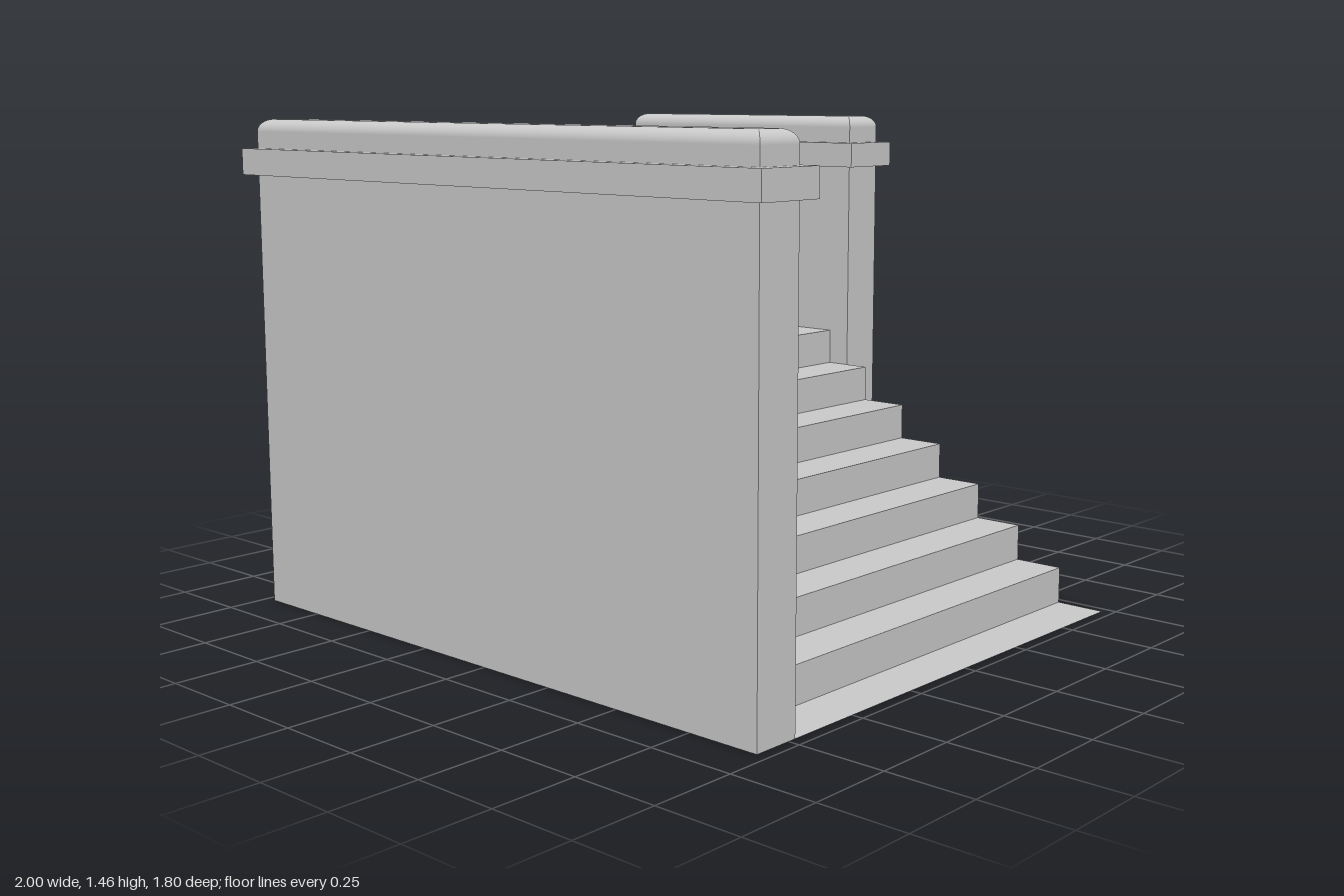
import * as THREE from 'three';

const material = new THREE.MeshStandardMaterial({ color: 0xcccccc });

function addBox(parent, name, x0, x1, y0, y1, z0, z1) {
  const mesh = new THREE.Mesh(new THREE.BoxGeometry(x1 - x0, y1 - y0, z1 - z0), material);
  mesh.position.set((x0 + x1) / 2, (y0 + y1) / 2, (z0 + z1) / 2);
  mesh.name = name;
  parent.add(mesh);
}

// Block whose four top edges are rounded and meet in mitred corners
function copingGeometry(w, h, d, r, segments = 8) {
  const positions = [], normals = [], index = [];
  const rings = [{ inset: 0, y: 0, a: 0 }];
  for (let i = 0; i <= segments; i++) {
    const a = (i / segments) * Math.PI / 2;
    rings.push({ inset: r * (1 - Math.cos(a)), y: h - r + r * Math.sin(a), a });
  }
  // One strip per side, turned about the vertical axis
  for (let side = 0; side < 4; side++) {
    const c = Math.round(Math.cos(side * Math.PI / 2));
    const s = Math.round(Math.sin(side * Math.PI / 2));
    const halfLength = (side % 2 ? d : w) / 2;
    const reach = (side % 2 ? w : d) / 2;
    const start = positions.length / 3;
    rings.forEach(({ inset, y, a }, i) => {
      for (const end of [-1, 1]) {
        const u = end * (halfLength - inset), v = reach - inset;
        positions.push(u * c + v * s, y, -u * s + v * c);
        normals.push(Math.cos(a) * s, Math.sin(a), Math.cos(a) * c);
      }
      if (i > 0) {
        const k = start + 2 * (i - 1);
        index.push(k, k + 1, k + 3, k, k + 3, k + 2);
      }
    });
  }
  // Flat top and underside
  for (const [up, x, y, z] of [[1, w / 2 - r, h, d / 2 - r], [-1, w / 2, 0, d / 2]]) {
    const k = positions.length / 3;
    positions.push(-x, y, up * z, x, y, up * z, x, y, -up * z, -x, y, -up * z);
    for (let i = 0; i < 4; i++) normals.push(0, up, 0);
    index.push(k, k + 1, k + 2, k, k + 2, k + 3);
  }
  const geometry = new THREE.BufferGeometry();
  geometry.setAttribute('position', new THREE.Float32BufferAttribute(positions, 3));
  geometry.setAttribute('normal', new THREE.Float32BufferAttribute(normals, 3));
  geometry.setIndex(index);
  return geometry;
}

const EDGE = 0.967, TOP = 1.295, INNER = 0.725, OUTER = 0.867;

// Side wall with an overhanging ledge and a rounded coping
function createWall(name, xEnd, side) {
  const wall = new THREE.Group();
  wall.name = name;
  const z = side * (INNER + OUTER) / 2;
  const half = (OUTER - INNER) / 2, lip = 0.033;
  addBox(wall, 'wallBody', -EDGE, xEnd, 0, TOP, z - half, z + half);
  addBox(wall, 'wallLedge', -EDGE - lip, xEnd + lip, TOP, 1.372, z - half - lip, z + half + lip);
  const coping = new THREE.Mesh(copingGeometry(xEnd + EDGE, 0.085, 2 * half, 0.036), material);
  coping.position.set((xEnd - EDGE) / 2, 1.372, z);
  coping.name = 'wallCoping';
  wall.add(coping);
  return wall;
}

export function createModel() {
  const model = new THREE.Group();
  model.name = 'staircase';

  // Solid flight climbing towards -x
  const risers = 12;
  const tread = 2 * EDGE / (risers + 1), rise = TOP / risers;
  const profile = new THREE.Shape();
  profile.moveTo(-EDGE, 0);
  for (let i = 0; i < risers; i++) {
    const x = EDGE - tread * (i + 1);
    profile.lineTo(x, i * rise);
    profile.lineTo(x, (i + 1) * rise);
  }
  profile.lineTo(-EDGE, TOP);
  const steps = new THREE.Mesh(
    new THREE.ExtrudeGeometry(profile, { depth: 2 * INNER, bevelEnabled: false }), material);
  steps.position.z = -INNER;
  steps.name = 'steps';
  model.add(steps);

  // Thin landing at the foot of the flight
  const thin = material.clone();
  thin.side = THREE.DoubleSide;
  const landing = new THREE.Mesh(new THREE.PlaneGeometry(tread, 2 * INNER), thin);
  landing.rotation.x = -Math.PI / 2;
  landing.position.x = EDGE - tread / 2;
  landing.name = 'footLanding';
  model.add(landing);

  // Full-length front wall and half-length back wall
  model.add(createWall('frontWall', EDGE, 1));
  model.add(createWall('backWall', -0.003, -1));
  return model;
}
